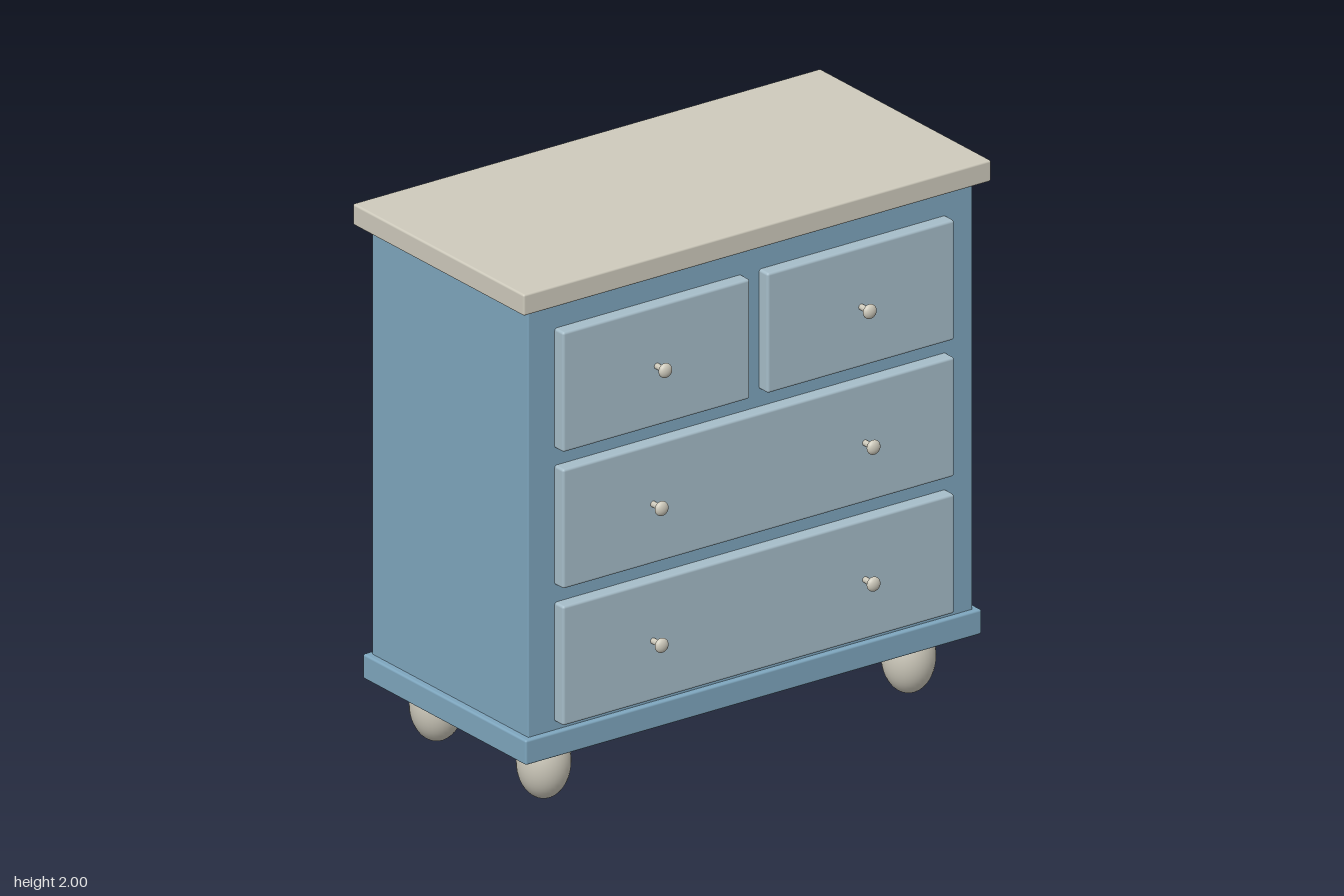
import * as THREE from 'three';
import { RoundedBoxGeometry } from 'three/addons/geometries/RoundedBoxGeometry.js';

const material = (name, color) => {
  const m = new THREE.MeshStandardMaterial({ color });
  m.name = name;
  return m;
};

export function createModel() {
  const model = new THREE.Group();
  model.name = 'chestOfDrawers';
  const blue = material('bluePaint', 0x7ea6be);
  const paleBlue = material('paleBluePaint', 0xa6bdc9);
  const cream = material('creamPaint', 0xcecabc);

  const add = (parent, name, geometry, mat, x, y, z) => {
    const mesh = new THREE.Mesh(geometry, mat);
    mesh.name = name;
    mesh.position.set(x, y, z);
    parent.add(mesh);
    return mesh;
  };

  // Softly edged box given by its limits on each axis
  const box = (parent, name, mat, [x0, x1], [y0, y1], [z0, z1], r = 0.008) =>
    add(parent, name, new RoundedBoxGeometry(x1 - x0, y1 - y0, z1 - z0, 2, r), mat,
      (x0 + x1) / 2, (y0 + y1) / 2, (z0 + z1) / 2);

  // Carcass
  box(model, 'top', cream, [-1, 1], [1.92, 2], [-0.535, 0.462]);
  box(model, 'body', blue, [-0.95, 0.95], [0.28, 1.93], [-0.49, 0.42], 0.005);
  box(model, 'plinth', blue, [-0.975, 0.975], [0.222, 0.315], [-0.51, 0.44]);

  // Knob: thin stem with a flattened round head
  const stem = new THREE.CylinderGeometry(0.011, 0.011, 0.06, 16).rotateX(Math.PI / 2);
  const head = new THREE.SphereGeometry(0.027, 24, 16).scale(1, 1, 0.6);
  const addKnob = (parent, x, y) => {
    const knob = new THREE.Group();
    knob.name = 'knob';
    knob.position.set(x, y, 0.47);
    add(knob, 'knobStem', stem, cream, 0, 0, 0.02);
    add(knob, 'knobHead', head, cream, 0, 0, 0.05);
    parent.add(knob);
  };

  // Drawers: a pair of short ones above two long ones
  const drawers = [
    { name: 'topRightDrawer', x: [-0.837, -0.037], y: [1.37, 1.82], knobs: [-0.437] },
    { name: 'topLeftDrawer', x: [0.037, 0.837], y: [1.37, 1.82], knobs: [0.437] },
    { name: 'middleDrawer', x: [-0.837, 0.837], y: [0.858, 1.306], knobs: [-0.453, 0.453] },
    { name: 'bottomDrawer', x: [-0.837, 0.837], y: [0.345, 0.793], knobs: [-0.453, 0.453] },
  ];
  for (const d of drawers) {
    const drawer = new THREE.Group();
    drawer.name = d.name;
    box(drawer, 'drawerFront', paleBlue, d.x, d.y, [0.4, 0.47], 0.01);
    for (const x of d.knobs) addKnob(drawer, x, (d.y[0] + d.y[1]) / 2);
    model.add(drawer);
  }

  // Bun feet, taller than wide, with their tops inside the plinth
  const foot = new THREE.SphereGeometry(1, 32, 24).scale(0.096, 0.138, 0.096);
  for (const x of [-0.78, 0.78])
    for (const z of [-0.345, 0.278]) add(model, 'foot', foot, cream, x, 0.138, z);

  return model;
}
